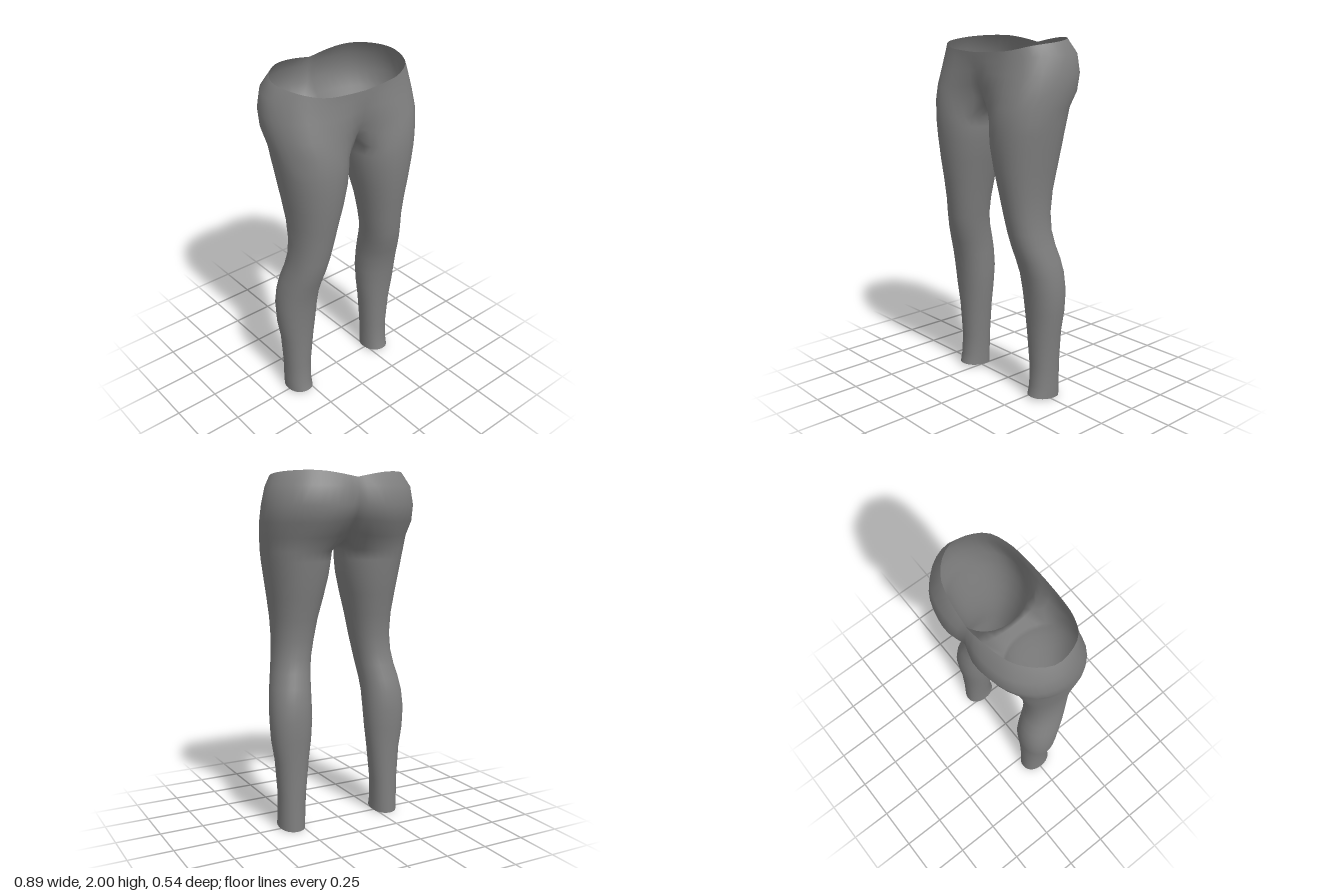
import * as THREE from 'three';
import { mergeVertices } from 'three/addons/utils/BufferGeometryUtils.js';

const SIDES = 28; // points around a leg
const INNER = 3; // points either side of the inseam that meet the gusset

// Leg sections: height, inner x, outer x, back z, front z
const LEG = [
  [0.01, 0.23, 0.38, -0.09, 0.1],
  [0.08, 0.23, 0.38, -0.09, 0.085],
  [0.2, 0.225, 0.38, -0.09, 0.08],
  [0.4, 0.205, 0.395, -0.095, 0.09],
  [0.52, 0.19, 0.415, -0.105, 0.1],
  [0.64, 0.182, 0.42, -0.113, 0.115],
  [0.74, 0.18, 0.413, -0.105, 0.135],
  [0.82, 0.175, 0.4, -0.088, 0.16],
  [0.9, 0.165, 0.383, -0.063, 0.185],
  [0.98, 0.153, 0.37, -0.047, 0.203],
  [1.08, 0.133, 0.363, -0.047, 0.218],
  [1.2, 0.11, 0.368, -0.065, 0.238],
  [1.32, 0.08, 0.383, -0.095, 0.258],
  [1.44, 0.052, 0.402, -0.12, 0.27],
  [1.52, 0.042, 0.415, -0.133, 0.273],
  [1.575, 0.037, 0.423, -0.143, 0.271],
];

// Hip half-sections from front middle round the side to back middle: x, y, z
const HIPS = [
  [[0, 1.7, 0.188], [0.11, 1.66, 0.235], [0.24, 1.65, 0.265], [0.36, 1.65, 0.225], [0.432, 1.65, 0.08],
    [0.4, 1.65, -0.07], [0.3, 1.65, -0.155], [0.18, 1.65, -0.185], [0.08, 1.66, -0.175], [0, 1.69, -0.14]],
  [[0, 1.76, 0.215], [0.12, 1.74, 0.24], [0.24, 1.73, 0.25], [0.37, 1.73, 0.205], [0.441, 1.73, 0.05],
    [0.41, 1.73, -0.11], [0.32, 1.73, -0.195], [0.2, 1.73, -0.238], [0.09, 1.74, -0.235], [0, 1.75, -0.2]],
  [[0, 1.83, 0.225], [0.12, 1.82, 0.235], [0.25, 1.82, 0.227], [0.37, 1.82, 0.175], [0.443, 1.82, 0.02],
    [0.42, 1.82, -0.11], [0.32, 1.82, -0.218], [0.2, 1.82, -0.262], [0.1, 1.82, -0.272], [0, 1.82, -0.243]],
  [[0, 1.88, 0.23], [0.12, 1.88, 0.226], [0.25, 1.89, 0.212], [0.36, 1.91, 0.152], [0.427, 1.92, 0],
    [0.4, 1.92, -0.11], [0.31, 1.92, -0.208], [0.2, 1.92, -0.248], [0.1, 1.92, -0.254], [0, 1.91, -0.237]],
  [[0, 1.925, 0.23], [0.12, 1.93, 0.225], [0.24, 1.94, 0.208], [0.34, 1.965, 0.15], [0.39, 1.985, 0],
    [0.355, 1.995, -0.09], [0.27, 2.0, -0.168], [0.19, 1.997, -0.197], [0.1, 1.985, -0.212], [0, 1.967, -0.22]],
];

// Point i of a leg section: 0 is the inseam, then front, outside, back
function legPoint([y, inner, outer, back, front], i) {
  const a = (i / SIDES) * Math.PI * 2;
  const square = (v) => Math.sign(v) * Math.abs(v) ** 0.92;
  const s = square(Math.sin(a));
  const hem = y < 0.05 ? 0.01 * s : 0; // hem dips at the heel
  return [
    (inner + outer) / 2 - ((outer - inner) / 2) * square(Math.cos(a)),
    y + hem,
    (front + back) / 2 + ((front - back) / 2) * s,
  ];
}

function createGarment() {
  const positions = [];
  const mirror = ([x, y, z]) => [-x, y, z];

  // Skin neighbouring rows on both halves of the body
  function skin(rows) {
    for (let r = 0; r + 1 < rows.length; r++) {
      for (let i = 0; i + 1 < rows[r].length; i++) {
        const a = rows[r][i], b = rows[r][i + 1], c = rows[r + 1][i + 1], d = rows[r + 1][i];
        for (const p of [a, b, c, a, c, d]) positions.push(...p);
        for (const p of [a, c, b, a, d, c].map(mirror)) positions.push(...p);
      }
    }
  }
  const range = (from, to, f) => Array.from({ length: to - from + 1 }, (_, i) => f(from + i));

  // Legs, open at the hem
  skin(LEG.map((section) => range(0, SIDES, (i) => legPoint(section, i % SIDES))));

  // Gusset joining the inner thighs under the middle
  const top = LEG[LEG.length - 1];
  const seam = (i) => {
    const s = i / INNER;
    return [0, 1.615 + 0.035 * s * s, 0.0275 + 0.1375 * s];
  };
  skin([
    range(-INNER, INNER, (i) => legPoint(top, i)),
    range(-INNER, INNER, seam),
  ]);

  // Hips, from the thigh tops up to the open waist
  const thighTop = [seam(INNER), ...range(INNER, SIDES - INNER, (i) => legPoint(top, i)), seam(-INNER)];
  const hipRows = HIPS.map((points) =>
    new THREE.CatmullRomCurve3(points.map((p) => new THREE.Vector3(...p)))
      .getSpacedPoints(thighTop.length - 1)
      .map((p) => p.toArray())
  );
  skin([thighTop, ...hipRows]);

  const soup = new THREE.BufferGeometry();
  soup.setAttribute('position', new THREE.Float32BufferAttribute(positions, 3));
  const geometry = mergeVertices(soup, 1e-4);
  geometry.computeVertexNormals();
  return geometry;
}

export function createModel() {
  const fabric = new THREE.MeshStandardMaterial({ color: 0x808080, side: THREE.DoubleSide });
  fabric.name = 'grey fabric';

  const leggings = new THREE.Mesh(createGarment(), fabric);
  leggings.name = 'leggings';

  const group = new THREE.Group();
  group.name = 'leggings model';
  group.add(leggings);
  return group;
}
